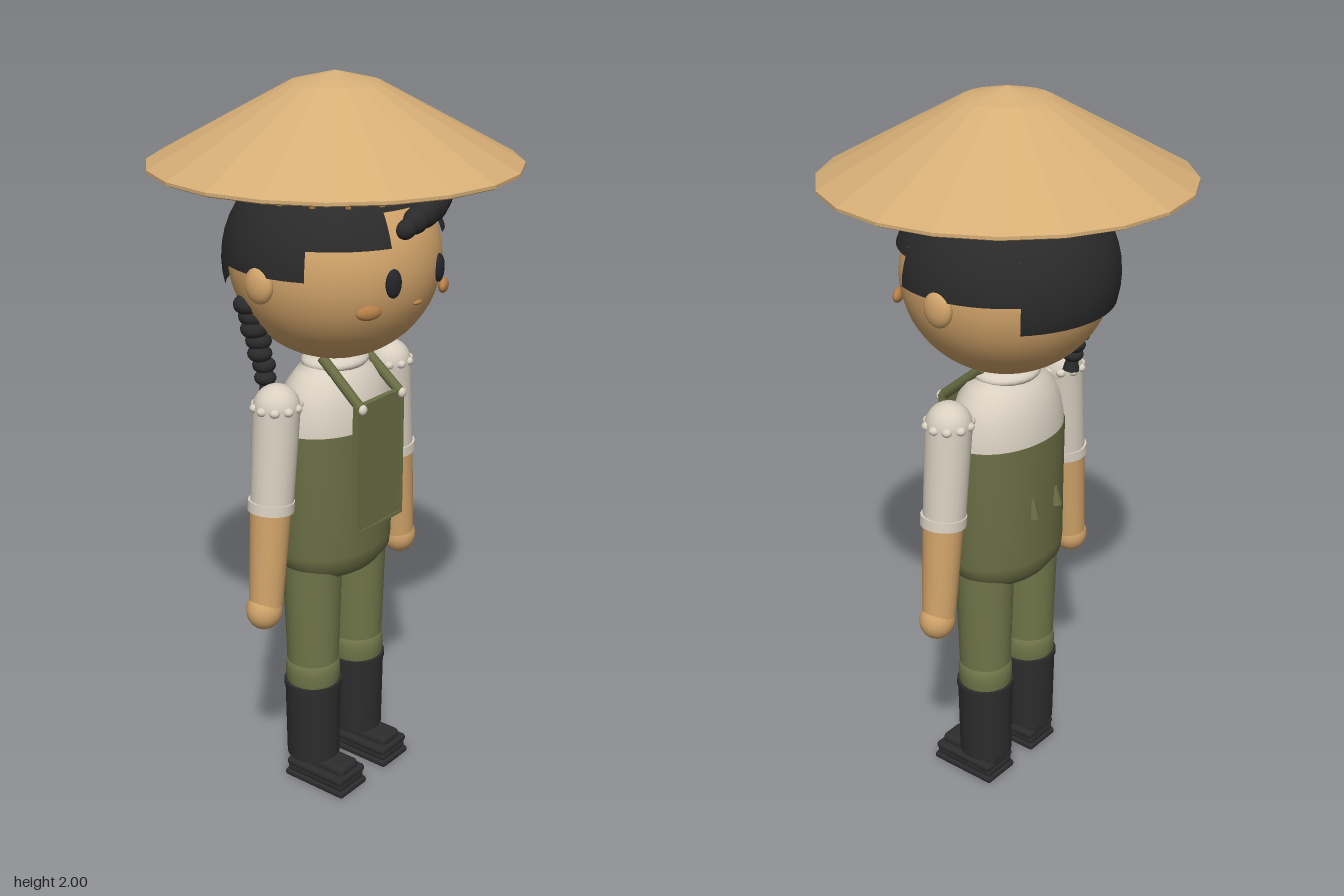
import * as THREE from 'three';
import { RoundedBoxGeometry } from 'three/addons/geometries/RoundedBoxGeometry.js';

const V = (x, y, z) => new THREE.Vector3(x, y, z);

export function createModel() {
  const model = new THREE.Group();
  model.name = 'farmer';
  const mat = (name, color, extra = {}) => new THREE.MeshStandardMaterial({ name, color, ...extra });
  const skin = mat('skin', 0xd2a46a);
  const straw = mat('straw', 0xd6ae76, { flatShading: true });
  const bandMat = mat('hat band brown', 0xa87743, { side: THREE.DoubleSide });
  const hairMat = mat('hair black', 0x2a2a2b, { side: THREE.DoubleSide });
  const eyeMat = mat('eye dark', 0x24262b);
  const blush = mat('blush brown', 0xb57f48);
  const cream = mat('shirt cream', 0xd9d0c1);
  const green = mat('overall green', 0x6a6e44);
  const pants = mat('trouser green', 0x70764a);
  const black = mat('boot black', 0x2c2c2d);

  const add = (name, geo, material, pos = [0, 0, 0], parent = model) => {
    const m = new THREE.Mesh(geo, material);
    m.name = name;
    m.position.set(...pos);
    parent.add(m);
    return m;
  };
  const ball = (name, material, pos, scale) => {
    const m = add(name, new THREE.SphereGeometry(1, 20, 14), material, pos);
    m.scale.set(...scale);
    return m;
  };
  // Tapered round limb from a (radius ra) to b (radius rb)
  const limb = (name, material, a, b, ra, rb, sides = 20) => {
    const d = b.clone().sub(a);
    const m = add(name, new THREE.CylinderGeometry(rb, ra, d.length(), sides), material,
      a.clone().add(b).multiplyScalar(0.5).toArray());
    m.quaternion.setFromUnitVectors(V(0, 1, 0), d.normalize());
    return m;
  };
  const lathe = (pts, sides) => new THREE.LatheGeometry(pts.map(p => new THREE.Vector2(...p)), sides);

  // Conical hat with a hollow underside
  add('hat', lathe([[0, 1.98], [0.115, 1.953], [0.472, 1.764], [0.48, 1.768], [0.48, 1.776],
    [0.31, 1.868], [0.115, 1.973], [0, 2]], 20), straw);
  add('hatBand', new THREE.CylinderGeometry(0.265, 0.265, 0.09, 40, 1, true), bandMat, [0, 1.763, 0]);
  for (let i = 0; i < 20; i++) {
    const a = (i + 0.5) / 20 * Math.PI * 2;
    const slat = add('hatBandSlat', new THREE.BoxGeometry(0.012, 0.09, 0.012), bandMat,
      [0.269 * Math.sin(a), 1.758, 0.269 * Math.cos(a)]);
    slat.rotation.y = a;
  }

  // Head and stepped bowl of hair; each section is [from, to, lower edge]
  const headY = 1.53;
  add('head', new THREE.SphereGeometry(1, 40, 28), skin, [0, headY, 0]).scale.set(0.28, 0.266, 0.276);
  const rad = THREE.MathUtils.degToRad;
  [[-22, 22, 1.69], [22, 66, 1.61], [66, 135, 1.535], [135, 225, 1.46],
    [225, 294, 1.535], [294, 338, 1.61]].forEach(([from, to, y]) => {
    const g = new THREE.SphereGeometry(1, Math.round((to - from) / 6), 14,
      Math.PI / 2 + rad(from), rad(to - from), 0, Math.acos((y - headY) / 0.276));
    add('hairSection', g, hairMat, [0, headY, 0]).scale.set(0.296, 0.276, 0.293);
  });
  // Swept fringe
  const fringe = new THREE.CatmullRomCurve3([V(-0.04, 1.645, 0.255), V(0.05, 1.67, 0.245),
    V(0.13, 1.685, 0.22), V(0.21, 1.725, 0.165)]);
  for (let i = 0; i < 7; i++) {
    const t = i / 6;
    const s = 0.022 + 0.022 * Math.sin(Math.PI * Math.min(1, t * 0.8 + 0.05));
    const p = fringe.getPoint(t);
    ball('fringeLock', hairMat, p.toArray(), [s * 1.25, s, s * 0.9]).rotation.z = 0.25;
  }

  // Braid hanging behind the right shoulder
  for (let i = 0; i < 7; i++) {
    const t = i / 6;
    const r = 0.04 - 0.011 * t;
    ball('braidBead', hairMat, [-0.222 + 0.006 * (i % 2) + 0.008 * t, 1.43 - 0.19 * t, -0.105 + 0.045 * t],
      [r, r * 0.72, r]);
  }
  limb('braidTip', hairMat, V(-0.213, 1.235, -0.06), V(-0.211, 1.195, -0.056), 0.014, 0.024, 10);

  // Face and ears
  for (const s of [-1, 1]) {
    ball('ear', skin, [s * 0.286, 1.51, -0.012], [0.024, 0.048, 0.042]);
    ball('eye', eyeMat, [s * 0.097, 1.52, 0.26], [0.023, 0.037, 0.013]).rotation.y = s * 0.3;
    ball('cheek', blush, [s * 0.16, 1.455, 0.232], [0.035, 0.019, 0.013]).rotation.y = s * 0.45;
  }
  ball('mouth', blush, [0, 1.452, 0.264], [0.018, 0.006, 0.008]);

  // Oval torso: overalls below, shirt above
  const oval = 0.132 / 0.19;
  add('overalls', lathe([[0, 0.64], [0.095, 0.642], [0.15, 0.662], [0.185, 0.695], [0.19, 0.73], [0.19, 0.9],
    [0.192, 1.082], [0.186, 1.082]], 36), green).scale.z = oval;
  add('shirt', lathe([[0.188, 1.07], [0.187, 1.1], [0.177, 1.15], [0.158, 1.197], [0.125, 1.232],
    [0.085, 1.255], [0.075, 1.29], [0, 1.29]], 36), cream).scale.z = oval;
  ball('collar', cream, [0, 1.25, 0], [0.1, 0.03, 0.085]);

  // Bib with a raised border, straps, buttons
  add('bib', new THREE.BoxGeometry(0.19, 0.35, 0.012), green, [0, 0.99, 0.146]);
  for (const s of [-1, 1]) {
    add('bibSideTrim', new THREE.BoxGeometry(0.008, 0.362, 0.017), green, [s * 0.097, 0.99, 0.147]);
    add('bibEdgeTrim', new THREE.BoxGeometry(0.2, 0.008, 0.017), green, [0, 0.99 + s * 0.178, 0.147]);
    limb('strap', green, V(s * 0.085, 1.165, 0.152), V(s * 0.08, 1.275, 0.02), 0.014, 0.014, 8);
    ball('strapButton', cream, [s * 0.086, 1.163, 0.16], [0.014, 0.014, 0.01]);
    // Small tabs on the back
    const tab = limb('backTab', green, V(s * 0.05, 0.87, -0.133), V(s * 0.05, 0.925, -0.128), 0.016, 0.004, 8);
    tab.name = 'backTab';
  }

  for (const s of [-1, 1]) {
    // Arm: puffed shoulder, sleeve with cuff, forearm, hand
    ball('shoulder', cream, [s * 0.24, 1.18, 0], [0.062, 0.062, 0.062]);
    limb('sleeve', cream, V(s * 0.266, 0.91, 0), V(s * 0.24, 1.185, 0), 0.057, 0.062);
    for (let i = 0; i < 10; i++) {
      const a = i / 10 * Math.PI * 2;
      ball('sleeveRuffle', cream, [s * 0.241 + 0.057 * Math.cos(a), 1.183, 0.057 * Math.sin(a)],
        [0.014, 0.012, 0.014]);
    }
    limb('cuff', cream, V(s * 0.27, 0.902, 0), V(s * 0.267, 0.93, 0), 0.062, 0.062);
    limb('forearm', skin, V(s * 0.296, 0.64, 0), V(s * 0.269, 0.92, 0), 0.046, 0.055);
    ball('hand', skin, [s * 0.303, 0.622, 0], [0.05, 0.054, 0.048]);

    // Leg: trouser, gathered hem, boot
    const x = s * 0.1;
    limb('trouserLeg', pants, V(x, 0.36, 0), V(x, 0.7, 0), 0.072, 0.083, 24);
    add('trouserHem', lathe([[0.068, 0.3], [0.076, 0.33], [0.077, 0.365], [0.073, 0.39], [0.06, 0.395]], 24),
      pants, [x, 0, 0]);
    limb('bootShaft', black, V(x, 0.082, 0), V(x, 0.315, 0), 0.075, 0.079, 24);
    limb('bootRim', black, V(x, 0.308, 0), V(x, 0.322, 0), 0.082, 0.082, 24);
    // Layered foot
    add('sole', new RoundedBoxGeometry(0.118, 0.02, 0.21, 2, 0.008), black, [x, 0.01, 0.045]);
    add('midsole', new RoundedBoxGeometry(0.108, 0.026, 0.198, 2, 0.01), black, [x, 0.029, 0.044]);
    add('footUpper', new RoundedBoxGeometry(0.118, 0.024, 0.2, 2, 0.011), black, [x, 0.048, 0.045]);
    add('instep', new RoundedBoxGeometry(0.082, 0.04, 0.19, 3, 0.015), black, [x, 0.064, 0.04]);
  }
  return model;
}
